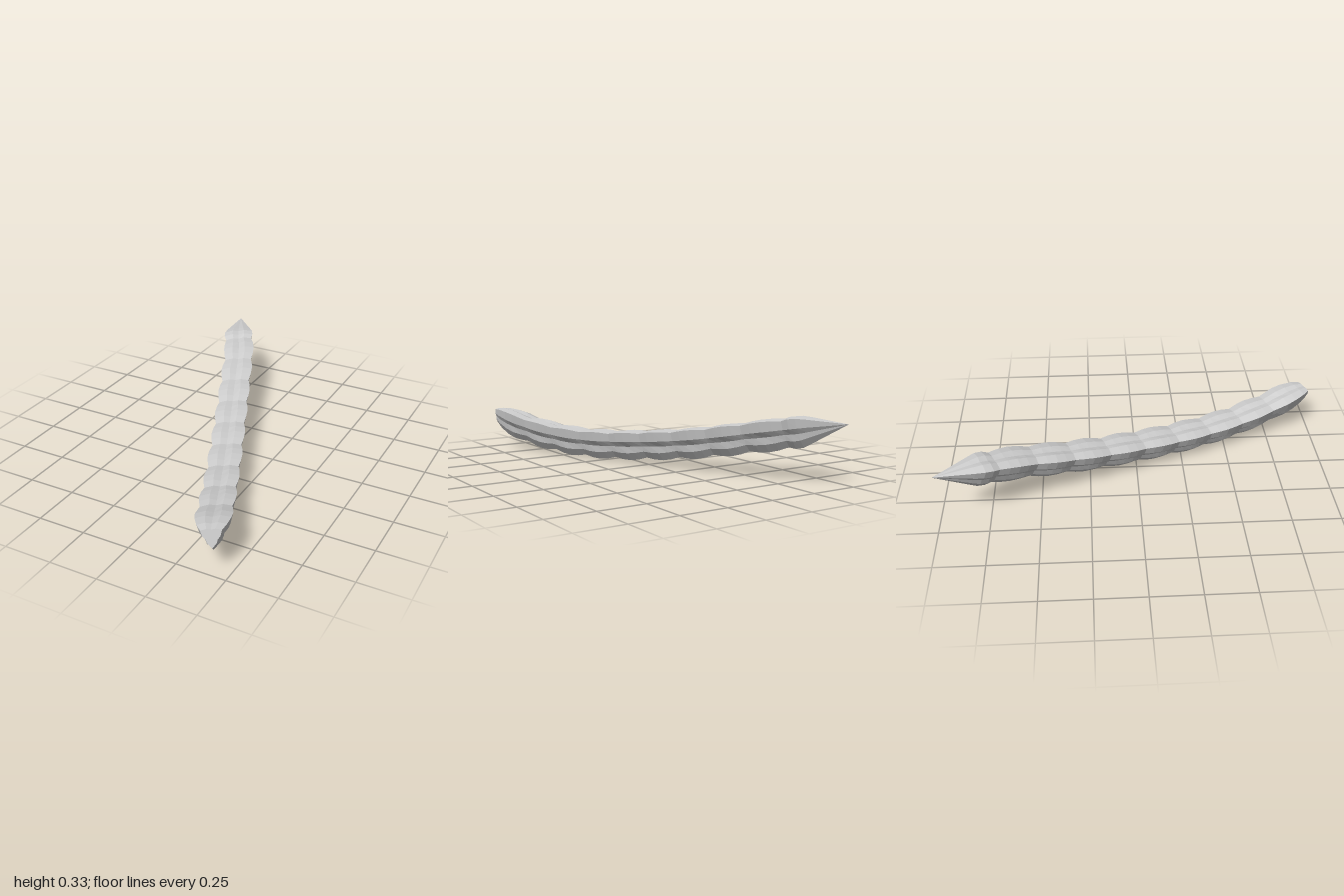
import * as THREE from 'three';

// Centre line: one height for every 0.2 of depth, from front (z = 1) to tip (z = -1)
const heights = [0.203, 0.146, 0.112, 0.1, 0.107, 0.126, 0.152, 0.188, 0.23, 0.27, 0.304];
const axis = new THREE.CatmullRomCurve3(
  heights.map((y, i) => {
    const z = 1 - i * 0.2;
    return new THREE.Vector3(i >= 9 ? 0.45 * z - 0.003 : 0.43 * z, y, z);
  }), false, 'catmullrom', 0.5);

const SIDES = 12;
const ROLL = THREE.MathUtils.degToRad(5);

// Three-lobed section: lobe tips at 30, 150 and 270 degrees, grooves between
function radius(j, size) {
  const k = (j + 11) % 4; // 0 = lobe tip, 2 = groove, odd = flank
  if (k === 0) return size;
  if (k === 2) return Math.min(0.052 + (size - 0.1) * 0.15, size * 0.55);
  return size * 0.71;
}

// Stations along the body: [z, lobe radius]
function stations() {
  const list = [[0.982, 0.055], [0.945, 0.077], [0.89, 0.094], [0.84, 0.099], [0.79, 0.092]];
  const first = 0.755, pitch = 0.185, bumps = 8, steps = 4;
  for (let i = 0; i <= bumps * steps; i++) {
    const swell = Math.abs(Math.sin((i / steps) * Math.PI));
    list.push([first - (i / steps) * pitch, 0.086 + 0.015 * swell]);
  }
  list.push([-0.755, 0.097], [-0.79, 0.095], [-0.83, 0.078], [-1, 0.001]);
  return list;
}

function ring(z, size) {
  const t = (1 - z) / 2;
  const centre = axis.getPoint(t);
  const forward = axis.getTangent(t).negate();
  const side = new THREE.Vector3(0, 1, 0).cross(forward).normalize();
  const up = forward.clone().cross(side);
  const points = [];
  for (let j = 0; j < SIDES; j++) {
    const a = (j / SIDES) * Math.PI * 2 + ROLL;
    const r = radius(j, size);
    points.push(centre.clone()
      .addScaledVector(side, Math.cos(a) * r)
      .addScaledVector(up, Math.sin(a) * r));
  }
  return { centre, points };
}

function fromTriangles(corners) {
  const geometry = new THREE.BufferGeometry().setFromPoints(corners);
  geometry.computeVertexNormals();
  return geometry;
}

export function createModel() {
  const grey = new THREE.MeshStandardMaterial({ color: 0xcccccc, flatShading: true });
  grey.name = 'lightGrey';
  const group = new THREE.Group();
  group.name = 'ribbedPod';

  const rings = stations().map(([z, size]) => ring(z, size));

  // Ribbed body running back to the pointed tip
  const skin = [];
  for (let i = 0; i < rings.length - 1; i++) {
    for (let j = 0; j < SIDES; j++) {
      const n = (j + 1) % SIDES;
      const a = rings[i].points[j], b = rings[i].points[n];
      const c = rings[i + 1].points[j], d = rings[i + 1].points[n];
      skin.push(a, c, b, b, c, d);
    }
  }
  const body = new THREE.Mesh(fromTriangles(skin), grey);
  body.name = 'body';
  group.add(body);

  // Caps closing the blunt front and the tiny tip
  const cap = (r, flip) => {
    const out = [];
    for (let j = 0; j < SIDES; j++) {
      const a = r.points[j], b = r.points[(j + 1) % SIDES];
      out.push(r.centre, flip ? b : a, flip ? a : b);
    }
    return new THREE.Mesh(fromTriangles(out), grey);
  };
  const frontCap = cap(rings[0], false);
  frontCap.name = 'frontCap';
  const tipCap = cap(rings[rings.length - 1], true);
  tipCap.name = 'tipCap';
  group.add(frontCap, tipCap);

  return group;
}
